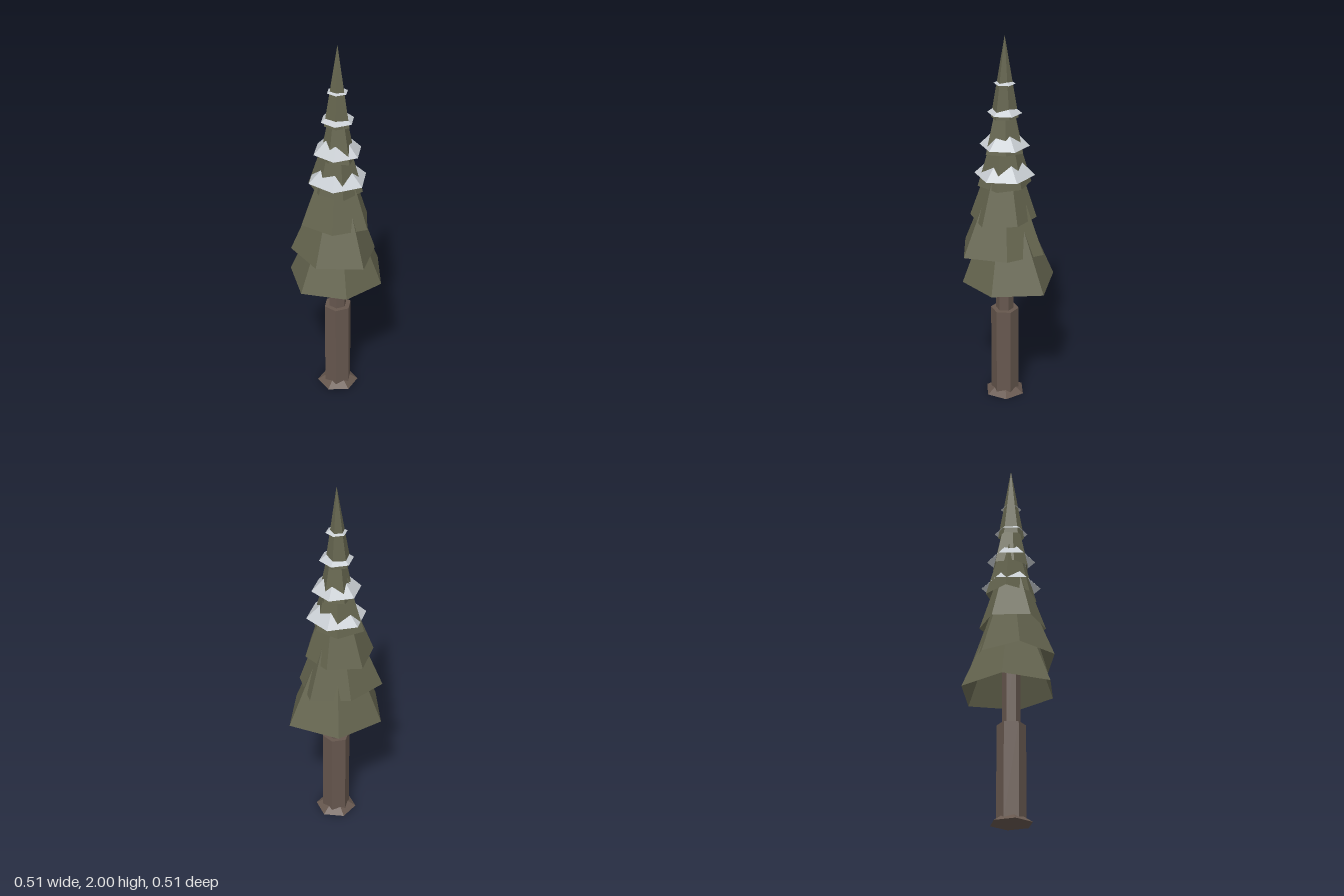
import * as THREE from 'three';

const mat = (color, side = THREE.FrontSide) =>
  new THREE.MeshStandardMaterial({ color, flatShading: true, side });

// Trunk axis, slightly off centre because the branches are uneven
const AXIS_X = -0.018, AXIS_Z = 0.005;

// Open six-sided cone; corner i sits at angle start + 60 * i (from +x toward +z)
function hexCone(radii, y, height, startDeg) {
  const corner = (i) => {
    const a = THREE.MathUtils.degToRad(startDeg + 60 * i);
    const r = radii[i % 6];
    return [Math.cos(a) * r, y, Math.sin(a) * r];
  };
  const pos = [];
  for (let i = 0; i < 6; i++) pos.push(...corner(i + 1), ...corner(i), 0, y + height, 0);
  const g = new THREE.BufferGeometry();
  g.setAttribute('position', new THREE.Float32BufferAttribute(pos, 3));
  g.computeVertexNormals();
  return g;
}

export function createModel() {
  const tree = new THREE.Group();
  tree.name = 'snowyPine';
  const bark = mat(0x66574e);
  const needles = mat(0x64644e, THREE.DoubleSide);
  const snow = mat(0xc8cdd2, THREE.DoubleSide);

  const add = (name, geometry, material) => {
    const mesh = new THREE.Mesh(geometry, material);
    mesh.name = name;
    mesh.position.set(AXIS_X, 0, AXIS_Z);
    tree.add(mesh);
    return mesh;
  };
  // Six-sided solid with its corners turned to the given angle
  const hexPrism = (rTop, rBottom, y0, y1, deg) =>
    new THREE.CylinderGeometry(rTop, rBottom, y1 - y0, 6)
      .rotateY(THREE.MathUtils.degToRad(90 - deg))
      .translate(0, (y0 + y1) / 2, 0);

  // Trunk: flared foot, thick lower part, thin upper part
  add('trunkFoot', hexPrism(0.05, 0.11, 0, 0.04, 20), bark);
  add('lowerTrunk', hexPrism(0.074, 0.074, 0.005, 0.508, 0), bark);
  add('upperTrunk', hexPrism(0.047, 0.047, 0.5, 0.95, 0), bark);

  // Branch tiers: uneven cones, each turned 20 degrees from the one below
  const tiers = [
    { start: 40, h: 0.62, radii: [0.24, 0.227, 0.253, 0.264, 0.265, 0.29] },
    { start: 20, h: 0.58, radii: [0.194, 0.252, 0.234, 0.243, 0.195, 0.223] },
    { start: 0, h: 0.52, radii: [0.163, 0.193, 0.18, 0.198, 0.196, 0.165] },
    { start: 40, h: 0.48, radii: [0.135, 0.142, 0.125, 0.157, 0.14, 0.123] },
    { start: 20, h: 0.45, radii: [0.088, 0.114, 0.093, 0.087, 0.107, 0.103] },
    { start: 0, h: 0.42, radii: [0.058, 0.075, 0.07, 0.072, 0.075, 0.07] },
  ];
  tiers.forEach(({ start, h, radii }, i) =>
    add(`branchTier${i + 1}`, hexCone(radii, 0.685 + 0.179 * i, h, start), needles));

  // Snow: shallow regular cones that the tiers poke through
  const caps = [
    [0.156, 1.275, 0.15],
    [0.128, 1.432, 0.13],
    [0.088, 1.603, 0.07],
    [0.055, 1.755, 0.03],
  ];
  caps.forEach(([r, y, h], i) =>
    add(`snowRing${i + 1}`, hexCone(Array(6).fill(r), y, h, 0), snow));

  return tree;
}
